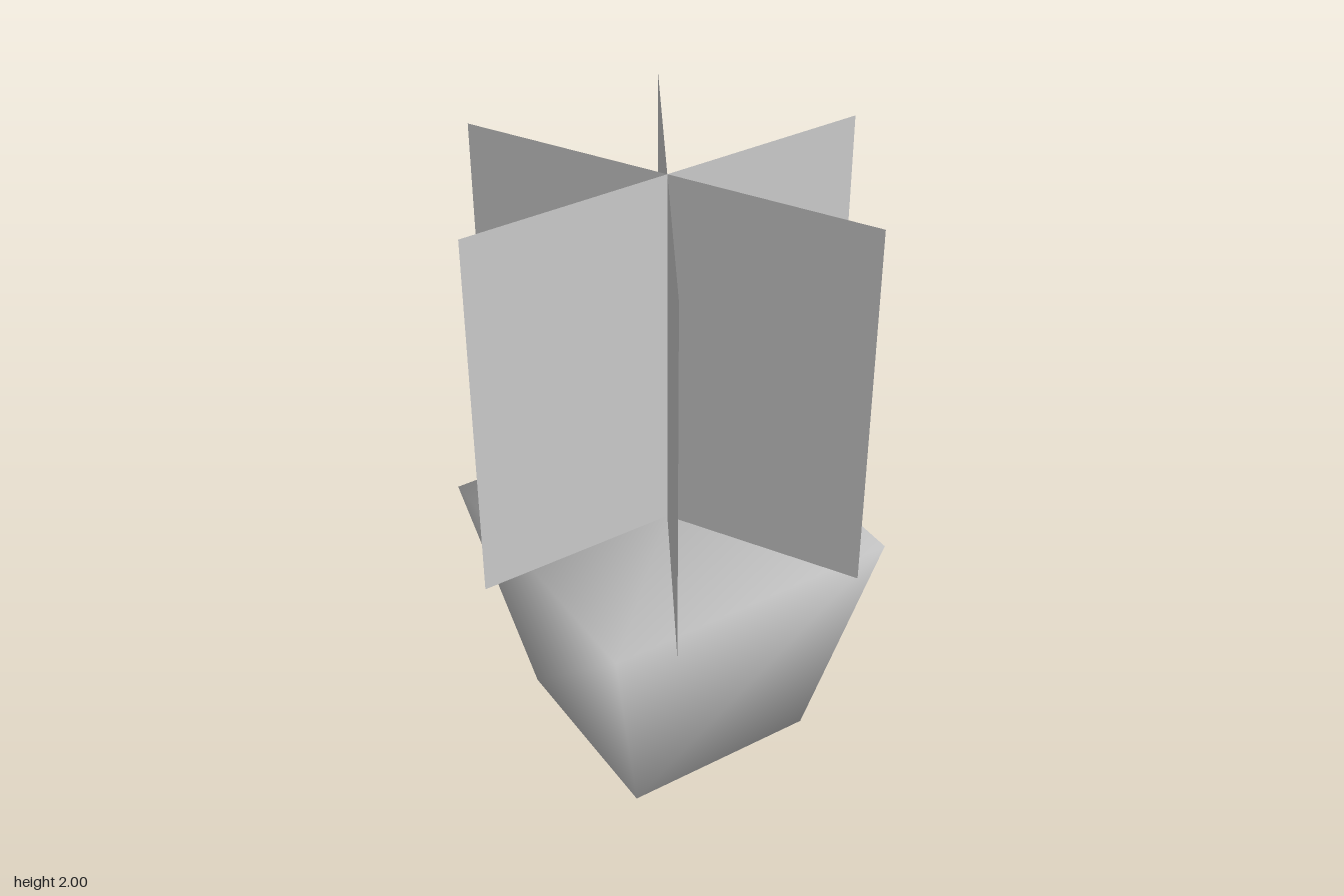
import * as THREE from 'three';
import { mergeVertices } from 'three/addons/utils/BufferGeometryUtils.js';

const POT_HEIGHT = 0.8, POT_TOP = 0.96, POT_BOTTOM = 0.64;
const LEAF_WIDTH = 1.28, LEAF_HEIGHT = 1.2, LEAF_COUNT = 3;

// Square pot: a box narrowed at the base, corners welded for soft shading
function potGeometry() {
  let geo = new THREE.BoxGeometry(POT_TOP, POT_HEIGHT, POT_TOP);
  geo.translate(0, POT_HEIGHT / 2, 0);
  const pos = geo.attributes.position;
  for (let i = 0; i < pos.count; i++) {
    const s = THREE.MathUtils.lerp(POT_BOTTOM / POT_TOP, 1, pos.getY(i) / POT_HEIGHT);
    pos.setX(i, pos.getX(i) * s);
    pos.setZ(i, pos.getZ(i) * s);
  }
  geo.deleteAttribute('normal');
  geo.deleteAttribute('uv');
  geo = mergeVertices(geo);
  geo.computeVertexNormals();
  return geo;
}

export function createModel() {
  const model = new THREE.Group();
  model.name = 'pottedPlant';

  const potMaterial = new THREE.MeshStandardMaterial({ color: 0xcccccc });
  const pot = new THREE.Mesh(potGeometry(), potMaterial);
  pot.name = 'pot';
  model.add(pot);

  // Foliage: upright cards crossing on the centre line
  const foliage = new THREE.Group();
  foliage.name = 'foliage';
  const cardGeometry = new THREE.PlaneGeometry(LEAF_WIDTH, LEAF_HEIGHT);
  const cardMaterial = new THREE.MeshStandardMaterial({ color: 0xcccccc, side: THREE.DoubleSide });
  for (let i = 0; i < LEAF_COUNT; i++) {
    const card = new THREE.Mesh(cardGeometry, cardMaterial);
    card.name = `foliageCard${i + 1}`;
    card.position.y = POT_HEIGHT + LEAF_HEIGHT / 2;
    card.rotation.y = (i * Math.PI) / LEAF_COUNT;
    foliage.add(card);
  }
  model.add(foliage);

  return model;
}
